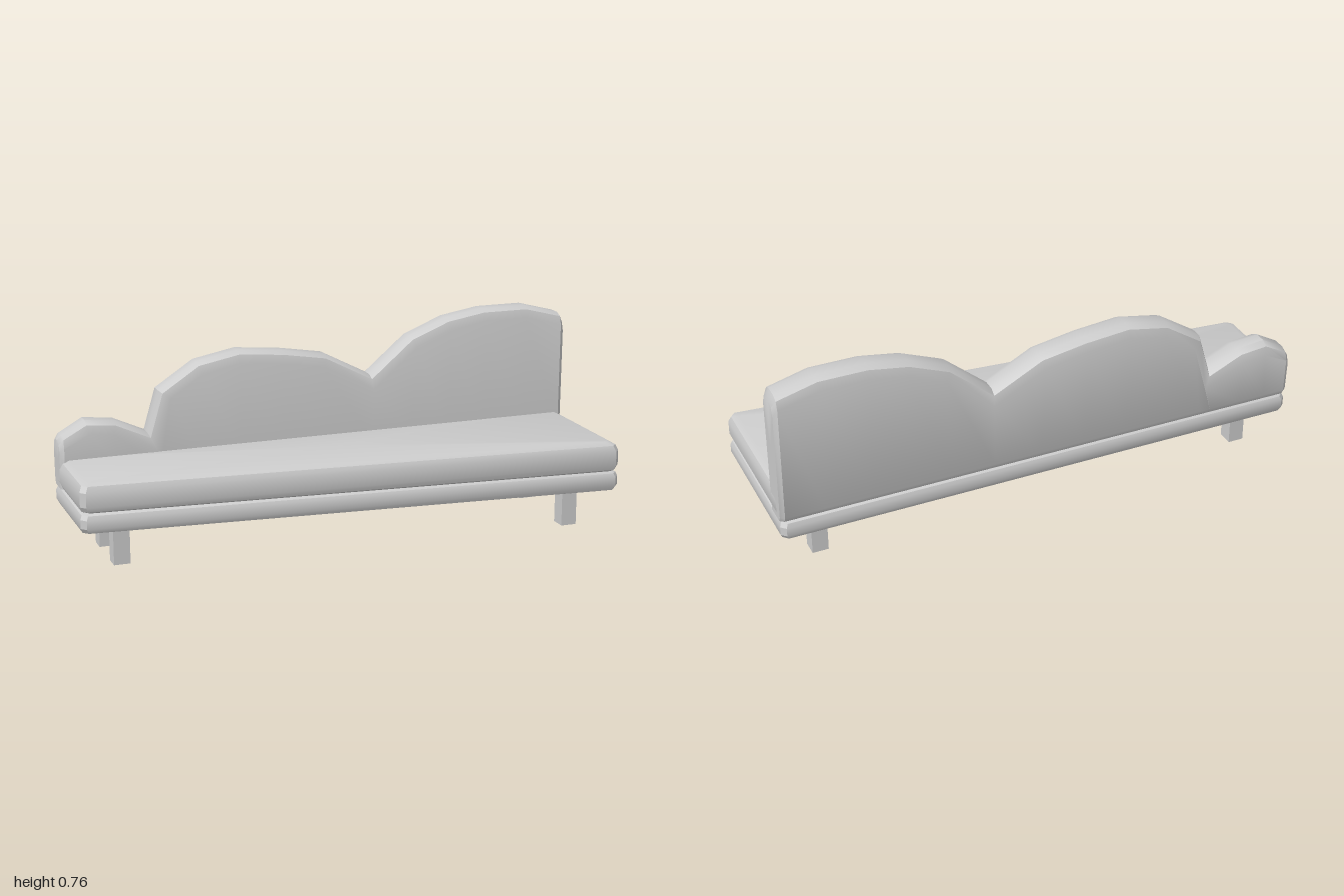
import * as THREE from 'three';
import { toCreasedNormals } from 'three/addons/utils/BufferGeometryUtils.js';

const material = new THREE.MeshStandardMaterial({ color: 0xcccccc });

// Skins a stack of closed rings of [x, y, z] and caps both ends
function loft(rings, crease = 0.5) {
  const n = rings[0].length, last = rings.length - 1;
  const mean = ring => [0, 1, 2].map(k => ring.reduce((s, p) => s + p[k], 0) / n);
  const points = [...rings.flat(), mean(rings[0]), mean(rings[last])];
  const lowCentre = points.length - 2, highCentre = points.length - 1;
  const index = [];
  for (let i = 0; i < n; i++) {
    const j = (i + 1) % n;
    for (let r = 0; r < last; r++) {
      const a = r * n + i, b = r * n + j;
      index.push(a, b, b + n, a, b + n, a + n);
    }
    index.push(j, i, lowCentre, last * n + i, last * n + j, highCentre);
  }
  const geometry = new THREE.BufferGeometry();
  geometry.setAttribute('position', new THREE.Float32BufferAttribute(points.flat(), 3));
  geometry.setIndex(index);
  return toCreasedNormals(geometry, crease);
}

// Tapered cushion slab; profile is a list of [height, inset]
function slab(name, backZ, profile) {
  const c = 0.018;
  const outline = [ // [x, z, x side, z side], corners chamfered
    [1, 0.3 - c, 1, 1], [1, backZ + c, 1, -1], [1 - c, backZ, 1, -1],
    [-1 + c, backZ, -1, -1], [-1, backZ + c, -1, -1], [-1, 0.125 - c, -1, 1],
    [-1 + c, 0.127, -1, 1], [1 - c, 0.302, 1, 1],
  ];
  const rings = profile.map(([y, d]) =>
    outline.map(([x, z, sx, sz]) => [x - sx * d, y, z - sz * d]));
  const mesh = new THREE.Mesh(loft(rings), material);
  mesh.name = name;
  return mesh;
}

// Wavy backrest: padded cross-sections that follow the top line
function backrest() {
  const top = [
    [-1, 0.395], [-0.985, 0.415], [-0.9, 0.463], [-0.79, 0.452], [-0.67, 0.397],
    [-0.625, 0.55], [-0.48, 0.645], [-0.32, 0.676], [-0.15, 0.661], [0.02, 0.633],
    [0.2, 0.54], [0.36, 0.675], [0.51, 0.735], [0.66, 0.76], [0.84, 0.76],
    [0.985, 0.722], [1, 0.695],
  ].map(p => new THREE.Vector2(...p));
  const last = top.length - 1;
  const rings = top.map((p, i) => {
    const end = i === 0 || i === last;
    // Mitred inward direction, vertical near the ends
    const down = new THREE.Vector2(0, -1);
    if (i > 1 && i < last - 1) {
      const normal = (a, b) => new THREE.Vector2(b.y - a.y, a.x - b.x).normalize();
      const n1 = normal(top[i - 1], p), n2 = normal(p, top[i + 1]);
      down.copy(n1).add(n2).divideScalar(1 + n1.dot(n2));
    }
    const inset = end ? 0.012 : 0;
    const at = (z, drop) => [p.x + down.x * drop, p.y + down.y * drop,
      z + (z < -0.243 ? inset : -inset)];
    const foot = (z, y) => [p.x, y, z + (z < -0.243 ? inset : -inset)];
    return [
      at(-0.265, 0), at(-0.22, 0), at(-0.193, 0.012), at(-0.183, 0.043),
      foot(-0.187, 0.3), foot(-0.187, 0.22), foot(-0.288, 0.22), foot(-0.298, 0.24),
      at(-0.303, 0.043), at(-0.293, 0.012),
    ];
  });
  const mesh = new THREE.Mesh(loft(rings, 0.6), material);
  mesh.name = 'backrest';
  return mesh;
}

export function createModel() {
  const group = new THREE.Group();
  group.name = 'sofa';

  group.add(
    slab('base', -0.298, [[0.14, 0.03], [0.147, 0.008], [0.164, 0], [0.196, 0], [0.211, 0.006], [0.217, 0.016]]),
    slab('seat', -0.27, [[0.218, 0.016], [0.224, 0.007], [0.242, 0], [0.295, 0], [0.317, 0.009], [0.328, 0.032]]),
    backrest(),
  );

  // Square legs; the front pair follows the tapered front edge
  for (const [name, x, z] of [
    ['frontLeftLeg', 0.84, 0.182], ['frontRightLeg', -0.845, 0.03],
    ['backLeftLeg', 0.84, -0.184], ['backRightLeg', -0.845, -0.184],
  ]) {
    const leg = new THREE.Mesh(new THREE.BoxGeometry(0.06, 0.15, 0.06), material);
    leg.position.set(x, 0.075, z);
    leg.name = name;
    group.add(leg);
  }
  return group;
}
